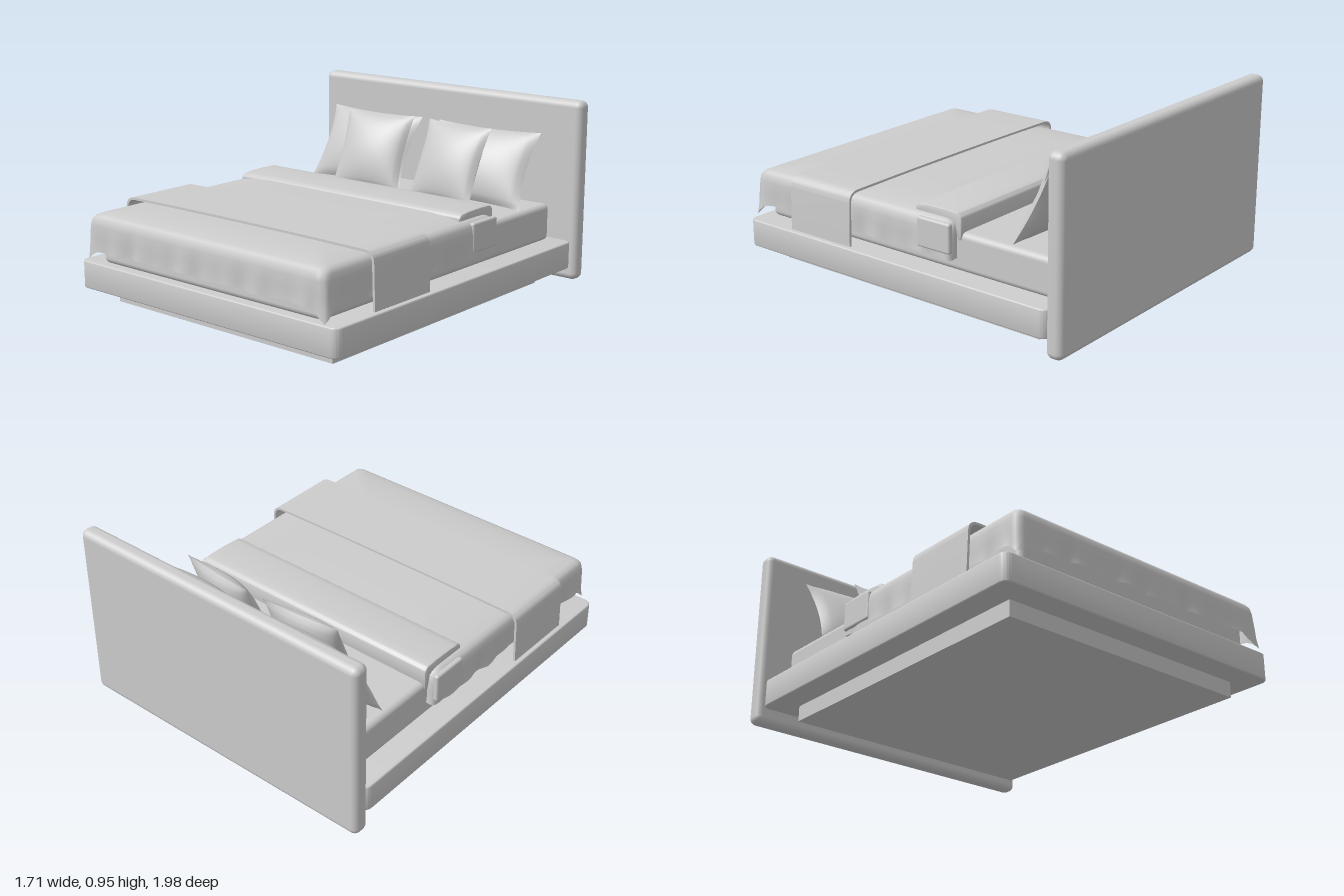
import * as THREE from 'three';
import { toCreasedNormals, mergeGeometries } from 'three/addons/utils/BufferGeometryUtils.js';
import { RoundedBoxGeometry } from 'three/addons/geometries/RoundedBoxGeometry.js';

const grey = new THREE.MeshStandardMaterial({ color: 0xcccccc, side: THREE.DoubleSide });
grey.name = 'soft grey';

function add(parent, name, geometry, x = 0, y = 0, z = 0) {
  const mesh = new THREE.Mesh(geometry, grey);
  mesh.name = name;
  mesh.position.set(x, y, z);
  parent.add(mesh);
  return mesh;
}

function roundedRect(hx, hy, r) {
  const s = new THREE.Shape();
  s.moveTo(hx, -hy + r);
  s.lineTo(hx, hy - r);
  s.absarc(hx - r, hy - r, r, 0, Math.PI / 2);
  s.lineTo(-hx + r, hy);
  s.absarc(-hx + r, hy - r, r, Math.PI / 2, Math.PI);
  s.lineTo(-hx, -hy + r);
  s.absarc(-hx + r, -hy + r, r, Math.PI, Math.PI * 1.5);
  s.lineTo(hx - r, -hy);
  s.absarc(hx - r, -hy + r, r, Math.PI * 1.5, Math.PI * 2);
  return s;
}

// Slab with rounded upright corners and a small edge bevel
function slab(hx, hz, height, r, bevel) {
  const geo = new THREE.ExtrudeGeometry(roundedRect(hx - bevel, hz - bevel, r), {
    depth: height - 2 * bevel, bevelSize: bevel, bevelThickness: bevel, bevelSegments: 3, curveSegments: 8,
  });
  geo.rotateX(-Math.PI / 2).translate(0, bevel, 0);
  return toCreasedNormals(geo, 0.6);
}

// Duvet: rings from a fluttering hem up over the shoulder to the middle of the top
function duvetGeometry(hx, hz) {
  const n = 240;
  const loop = roundedRect(hx, hz, 0.03).getSpacedPoints(n).slice(0, n);
  const rings = [ // inset from the side, height
    [0, 0.285], [0.002, 0.32], [0, 0.36], [0, 0.41], [0.005, 0.44],
    [0.018, 0.458], [0.04, 0.468], [0.1, 0.478], [0.22, 0.488], [0.45, 0.49], [hx, 0.49],
  ];
  const pos = [], index = [];
  rings.forEach(([inset, y], j) => {
    const hem = Math.max(0, 1 - j / 3);
    loop.forEach((p, i) => {
      const t = (i / n) * Math.PI * 2;
      const corner = Math.exp(-((Math.abs(p.x) - hx) ** 2 + (p.y + hz) ** 2) / 0.0016) * hem;
      const wave = 0.005 * hem * (Math.sin(t * 23) + Math.sin(t * 37 + 1));
      const out = wave + 0.02 * corner - inset;
      const drop = 0.06 * corner - 0.004 * hem * Math.sin(t * 17);
      pos.push(p.x * (1 + out / hx), y - drop, -p.y * (1 + (inset === hx ? -1 : out / hz)));
      if (j < rings.length - 1) {
        const a = j * n + i, b = j * n + (i + 1) % n;
        index.push(a, b, b + n, a, b + n, a + n);
      }
    });
  });
  const geo = new THREE.BufferGeometry();
  geo.setAttribute('position', new THREE.Float32BufferAttribute(pos, 3));
  geo.setIndex(index);
  geo.computeVertexNormals();
  return geo;
}

// Pillow: two bulged panels meeting at a pinched seam with pointed corners
function pillowGeometry(w, h, depth) {
  const face = new THREE.PlaneGeometry(2, 2, 24, 24);
  const p = face.attributes.position;
  for (let i = 0; i < p.count; i++) {
    const u = p.getX(i), v = p.getY(i);
    const a = Math.max(0, 1 - u * u), b = Math.max(0, 1 - v * v);
    p.setXYZ(i, u * (w / 2) * (1 - 0.08 * b), v * (h / 2) * (1 - 0.06 * a), (depth / 2) * (a * b) ** 0.6);
  }
  face.computeVertexNormals();
  return mergeGeometries([face, face.clone().rotateY(Math.PI)]);
}

// Throw: thin arch-shaped strip lying across the bed
function throwGeometry(length) {
  const s = new THREE.Shape();
  s.moveTo(0.812, 0.222);
  s.lineTo(0.805, 0.44);
  s.quadraticCurveTo(0.803, 0.495, 0.745, 0.497);
  s.quadraticCurveTo(0, 0.507, -0.745, 0.497);
  s.quadraticCurveTo(-0.803, 0.495, -0.805, 0.44);
  s.lineTo(-0.812, 0.222);
  s.lineTo(-0.8, 0.222);
  s.lineTo(-0.793, 0.44);
  s.quadraticCurveTo(-0.79, 0.483, -0.745, 0.485);
  s.quadraticCurveTo(0, 0.495, 0.745, 0.485);
  s.quadraticCurveTo(0.79, 0.483, 0.793, 0.44);
  s.lineTo(0.8, 0.222);
  s.closePath();
  return toCreasedNormals(new THREE.ExtrudeGeometry(s, { depth: length, bevelEnabled: false, curveSegments: 10 }), 0.6);
}

// Turned-back end of the duvet, drawn as (-z, y) and run across the bed
function foldGeometry(width) {
  const s = new THREE.Shape();
  s.moveTo(0.07, 0.458);
  s.quadraticCurveTo(0.05, 0.48, 0.08, 0.497);
  s.quadraticCurveTo(0.19, 0.508, 0.3, 0.502);
  s.quadraticCurveTo(0.33, 0.5, 0.332, 0.47);
  s.lineTo(0.33, 0.385);
  s.quadraticCurveTo(0.322, 0.368, 0.312, 0.385);
  s.lineTo(0.3, 0.45);
  s.closePath();
  const geo = new THREE.ExtrudeGeometry(s, {
    depth: width - 0.016, bevelSize: 0.004, bevelThickness: 0.008, bevelSegments: 2, curveSegments: 8,
  });
  geo.translate(0, 0, 0.008 - width / 2).rotateY(Math.PI / 2);
  return toCreasedNormals(geo, 0.7);
}

export function createModel() {
  const bed = new THREE.Group();
  bed.name = 'bed';

  // Frame
  add(bed, 'headboard', new RoundedBoxGeometry(1.71, 0.945, 0.09, 5, 0.035), 0, 0.4775, -0.955);
  add(bed, 'platform', slab(0.835, 0.94, 0.14, 0.035, 0.006), 0, 0.08, 0.035);
  add(bed, 'plinth', new THREE.BoxGeometry(1.4, 0.08, 1.615), 0, 0.04, 0.0375);

  // Bedding
  add(bed, 'mattress', new RoundedBoxGeometry(1.43, 0.195, 1.8, 4, 0.03), 0, 0.3125, 0.03);
  add(bed, 'duvet', duvetGeometry(0.765, 0.64), 0, 0, 0.335);
  add(bed, 'duvetFold', foldGeometry(1.44));
  add(bed, 'throwBlanket', throwGeometry(0.4), 0, 0, 0.29);

  // Pillows, leaning back towards the headboard
  const large = pillowGeometry(0.63, 0.42, 0.16);
  const small = pillowGeometry(0.425, 0.43, 0.14);
  for (const side of [-1, 1]) {
    const label = side > 0 ? 'left' : 'right';
    const back = add(bed, label + 'BackPillow', large, side * 0.375, 0.6, -0.7);
    back.rotation.set(-0.48, side * 0.03, 0, 'YXZ');
    const front = add(bed, label + 'FrontPillow', small, side * 0.255, 0.605, -0.605);
    front.rotation.set(-0.4, side * -0.09, 0, 'YXZ');

    // Duvet edge pushed out beside the fold
    add(bed, label + 'DuvetFlap', new RoundedBoxGeometry(0.03, 0.15, 0.2, 3, 0.012), side * 0.757, 0.385, -0.205);
  }
  return bed;
}
